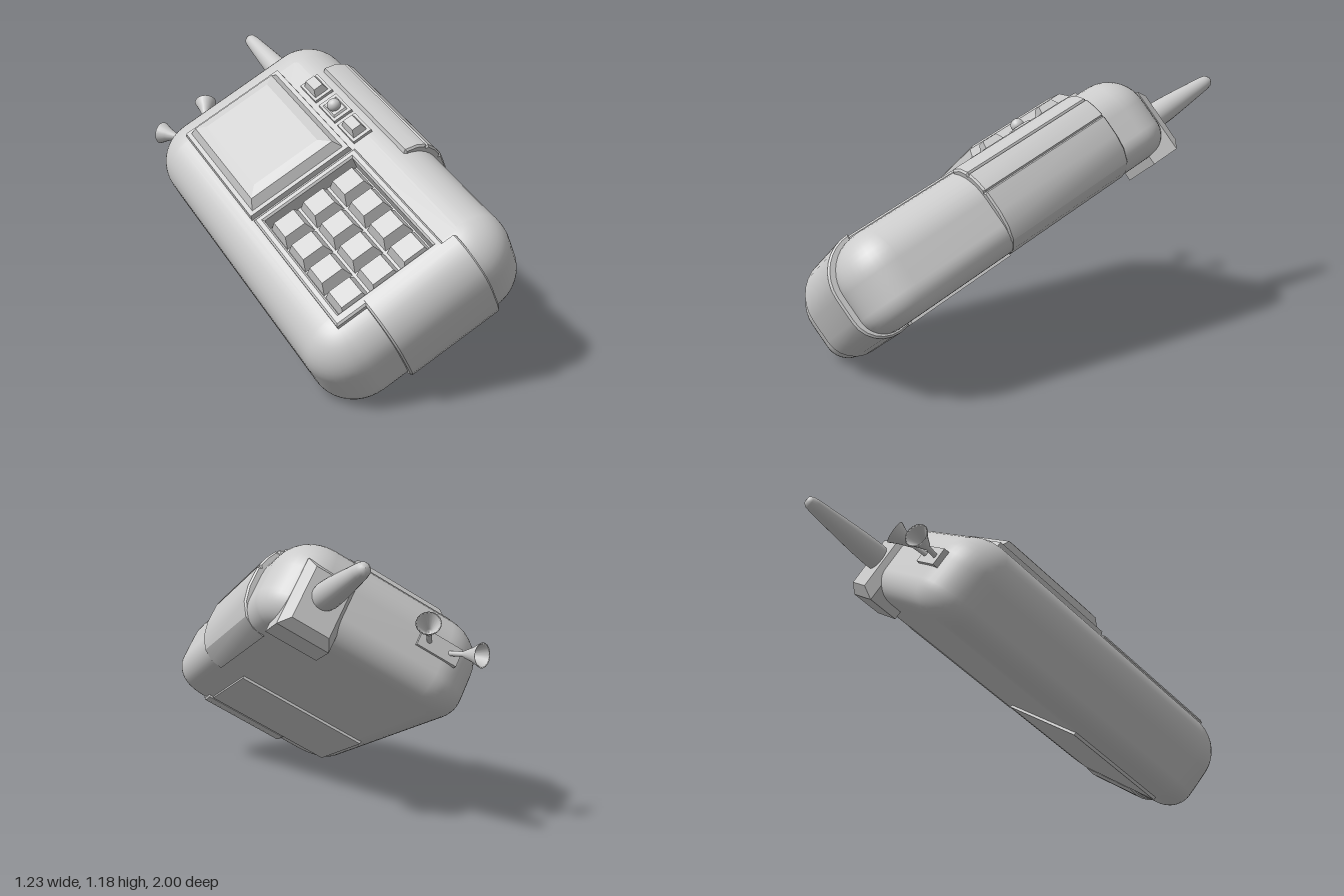
import * as THREE from 'three';
import { toCreasedNormals } from 'three/addons/utils/BufferGeometryUtils.js';

const mat = new THREE.MeshStandardMaterial({ color: 0xcccccc });
const thin = new THREE.MeshStandardMaterial({ color: 0xcccccc, side: THREE.DoubleSide });

// Local frame of the handset: x = width, y = length (towards the antenna), z = out of the keypad face
const BODY = { x0: -0.2, x1: 0.77, y0: -0.79, y1: 0.86, z0: 0.34, z1: 0.75, corner: 0.2 };
const BACK_R = 0.11, FRONT_R = 0.18;

function add(parent, name, geometry, material = mat) {
  const m = new THREE.Mesh(geometry, material);
  m.name = name;
  parent.add(m);
  return m;
}

// Block whose top face is drawn in by inset on every side
function slab(x0, x1, y0, y1, z0, z1, inset = 0) {
  const g = new THREE.BoxGeometry(x1 - x0, y1 - y0, z1 - z0);
  const p = g.attributes.position;
  for (let i = 0; i < p.count; i++) {
    if (p.getZ(i) > 0) {
      p.setX(i, p.getX(i) - Math.sign(p.getX(i)) * inset);
      p.setY(i, p.getY(i) - Math.sign(p.getY(i)) * inset);
    }
  }
  g.translate((x0 + x1) / 2, (y0 + y1) / 2, (z0 + z1) / 2);
  g.computeVertexNormals();
  return g;
}

function rectPath(x0, x1, y0, y1) {
  return [[x0, y0], [x1, y0], [x1, y1], [x0, y1]].map(([x, y]) => new THREE.Vector2(x, y));
}

// Rounded rectangle outline of the body, drawn in by inset
function outline(inset) {
  const pts = [], b = BODY, r = b.corner, n = 10;
  const centres = [[b.x1 - r, b.y1 - r], [b.x0 + r, b.y1 - r], [b.x0 + r, b.y0 + r], [b.x1 - r, b.y0 + r]];
  centres.forEach(([cx, cy], k) => {
    for (let i = 0; i <= n; i++) {
      const a = (k + i / n) * Math.PI / 2;
      pts.push(new THREE.Vector2(cx + (r - inset) * Math.cos(a), cy + (r - inset) * Math.sin(a)));
    }
  });
  return pts;
}

// Shell of stacked outlines with a small radius at the back and a big one at the front
function bodyShell() {
  const steps = [], n = 10, pos = [], idx = [];
  for (let i = 0; i <= n; i++) {
    const a = i / n * Math.PI / 2;
    steps.push([BACK_R * (1 - Math.sin(a)), BODY.z0 + BACK_R * (1 - Math.cos(a))]);
  }
  for (let i = 0; i <= n; i++) {
    const a = i / n * Math.PI / 2;
    steps.push([FRONT_R * (1 - Math.cos(a)), BODY.z1 - FRONT_R * (1 - Math.sin(a))]);
  }
  let count = 0;
  steps.forEach(([inset, z]) => {
    const ring = outline(inset);
    count = ring.length;
    ring.forEach(p => pos.push(p.x, p.y, z));
  });
  for (let i = 0; i < steps.length - 1; i++) {
    for (let j = 0; j < count; j++) {
      const k = (j + 1) % count;
      const a = i * count + j, b = i * count + k, c = a + count, d = b + count;
      idx.push(a, b, d, a, d, c);
    }
  }
  const g = new THREE.BufferGeometry();
  g.setAttribute('position', new THREE.Float32BufferAttribute(pos, 3));
  g.setIndex(idx);
  g.computeVertexNormals();
  return g;
}

// Extrude a profile and turn it so that its axes follow u, v and u x v
function band(points, depth, u, v) {
  const shape = new THREE.Shape(points.map(([x, y]) => new THREE.Vector2(x, y)));
  const g = new THREE.ExtrudeGeometry(shape, { depth, bevelEnabled: true, bevelSize: 0.008, bevelThickness: 0.008, bevelOffset: -0.008, bevelSegments: 1 });
  const w = new THREE.Vector3().crossVectors(u, v);
  g.applyMatrix4(new THREE.Matrix4().makeBasis(u, v, w));
  return toCreasedNormals(g, 0.45);
}

export function createModel() {
  const phone = new THREE.Group();
  phone.name = 'handset';
  const X = new THREE.Vector3(1, 0, 0), Y = new THREE.Vector3(0, 1, 0), Z = new THREE.Vector3(0, 0, 1);

  // Body with an opening for the keypad
  add(phone, 'bodyShell', bodyShell());
  const face = new THREE.Shape(outline(FRONT_R));
  face.holes.push(new THREE.Path(rectPath(0, 0.485, -0.605, 0.01).reverse()));
  add(phone, 'bodyFront', new THREE.ShapeGeometry(face), thin).position.z = BODY.z1;
  add(phone, 'bodyBack', new THREE.ShapeGeometry(new THREE.Shape(outline(BACK_R))), thin).position.z = BODY.z0;
  add(phone, 'batteryCover', slab(-0.11, 0.54, -0.61, -0.08, 0.328, 0.36));

  // Keypad: frame, sunken floor and three by four keys
  const frame = new THREE.Shape(rectPath(-0.02, 0.505, -0.65, 0.03));
  frame.holes.push(new THREE.Path(rectPath(0.015, 0.47, -0.605, -0.005).reverse()));
  const frameGeo = new THREE.ExtrudeGeometry(frame, {
    depth: 0.075, bevelSize: 0.008, bevelThickness: 0.008, bevelOffset: -0.008, bevelSegments: 1 });
  add(phone, 'keypadFrame', frameGeo).position.z = 0.685;
  add(phone, 'keypadFloor', slab(0, 0.485, -0.62, 0.01, 0.68, 0.695));
  const kw = 0.455 / 3, kl = 0.6 / 4;
  for (let c = 0; c < 3; c++) {
    for (let r = 0; r < 4; r++) {
      const x = 0.015 + c * kw, y = -0.605 + r * kl;
      add(phone, 'key', slab(x + 0.004, x + kw - 0.004, y + 0.004, y + kl - 0.004, 0.69, 0.745, 0.022));
    }
  }

  // Raised screen
  add(phone, 'screenFrame', slab(-0.03, 0.5, 0.04, 0.69, 0.73, 0.772, 0.01));
  add(phone, 'screen', slab(-0.005, 0.475, 0.065, 0.665, 0.765, 0.81, 0.03));
  add(phone, 'screenCrown', slab(0.025, 0.445, 0.095, 0.635, 0.81, 0.822, 0.045));

  // Column of buttons beside the screen
  [0.13, 0.29, 0.455].forEach((y, i) => {
    add(phone, 'buttonPlate', slab(0.515, 0.62, y - 0.072, y + 0.072, 0.71, 0.762, 0.006));
    if (i === 1) {
      add(phone, 'buttonSocket', slab(0.53, 0.605, y - 0.05, y + 0.05, 0.76, 0.77, 0.008));
      add(phone, 'roundButton', new THREE.SphereGeometry(0.03, 20, 14)).position.set(0.567, y, 0.778);
    } else {
      add(phone, 'squareButton', slab(0.53, 0.605, y - 0.052, y + 0.052, 0.755, 0.795, 0.015));
    }
  });

  // Grooved grip wrapped around the side
  const grip = [[0.64, 0.36], [0.645, 0.335], [0.70, 0.345], [0.75, 0.375], [0.785, 0.43], [0.8, 0.5], [0.8, 0.592],
    [0.79, 0.597], [0.798, 0.604], [0.785, 0.65], [0.762, 0.695], [0.75, 0.696], [0.752, 0.706],
    [0.715, 0.736], [0.66, 0.755], [0.64, 0.73]];
  add(phone, 'sideGrip', band(grip, 0.66, X, Z)).position.y = 0.53;

  // Clip wrapped around the lower end
  const clip = [[-0.63, 0.77], [-0.63, 0.7], [-0.63, 0.4], [-0.63, 0.33], [-0.68, 0.325]];
  for (let i = 0; i <= 6; i++) {
    const a = i / 6 * Math.PI / 2;
    clip.push([-0.68 - 0.14 * Math.sin(a), 0.465 - 0.14 * Math.cos(a)]);
  }
  for (let i = 0; i <= 8; i++) {
    const a = i / 8 * Math.PI / 2;
    clip.push([-0.63 - 0.19 * Math.cos(a), 0.575 + 0.195 * Math.sin(a)]);
  }
  clip.splice(0, 1);
  add(phone, 'endClip', band(clip.reverse(), 0.43, Y, Z)).position.x = 0.125;

  // Antenna on its tapered block
  add(phone, 'antennaBlock', slab(0.435, 0.675, 0.69, 0.835, 0.3, 0.61));
  const cap = slab(-0.12, 0.12, -0.155, 0.155, 0, 0.05, 0.035);
  cap.rotateX(-Math.PI / 2);
  add(phone, 'antennaBlockCap', cap).position.set(0.555, 0.835, 0.455);
  const rod = [[0.056, 0], [0.06, 0.05], [0.056, 0.14], [0.046, 0.26], [0.034, 0.39], [0.029, 0.42], [0.018, 0.435], [0, 0.438]];
  add(phone, 'antenna', new THREE.LatheGeometry(rod.map(p => new THREE.Vector2(...p)), 24)).position.set(0.555, 0.86, 0.48);

  // Pair of little horns on a plate
  add(phone, 'hornPlate', slab(-0.06, 0.13, 0.83, 0.875, 0.51, 0.59));
  for (const s of [-1, 1]) {
    const horn = new THREE.Group();
    horn.name = 'horn';
    const funnel = [[0.011, 0], [0.011, 0.08], [0.016, 0.09], [0.032, 0.135], [0.052, 0.175], [0.045, 0.172], [0.012, 0.1], [0, 0.095]];
    add(horn, 'hornFunnel', new THREE.LatheGeometry(funnel.map(p => new THREE.Vector2(...p)), 18), thin);
    horn.position.set(0.035 + s * 0.045, 0.86, 0.55);
    horn.rotation.z = -s * 0.5;
    phone.add(horn);
  }

  // Tilt the handset into its leaning pose
  const L = new THREE.Vector3(-0.24, 0.345, -0.907).normalize();
  const N = new THREE.Vector3(0.856, 0.515, -0.035).cross(L).normalize();
  const W = new THREE.Vector3().crossVectors(L, N);
  phone.quaternion.setFromRotationMatrix(new THREE.Matrix4().makeBasis(W, L, N));
  const model = new THREE.Group();
  model.name = 'mobilePhone';
  model.add(phone);
  return model;
}
